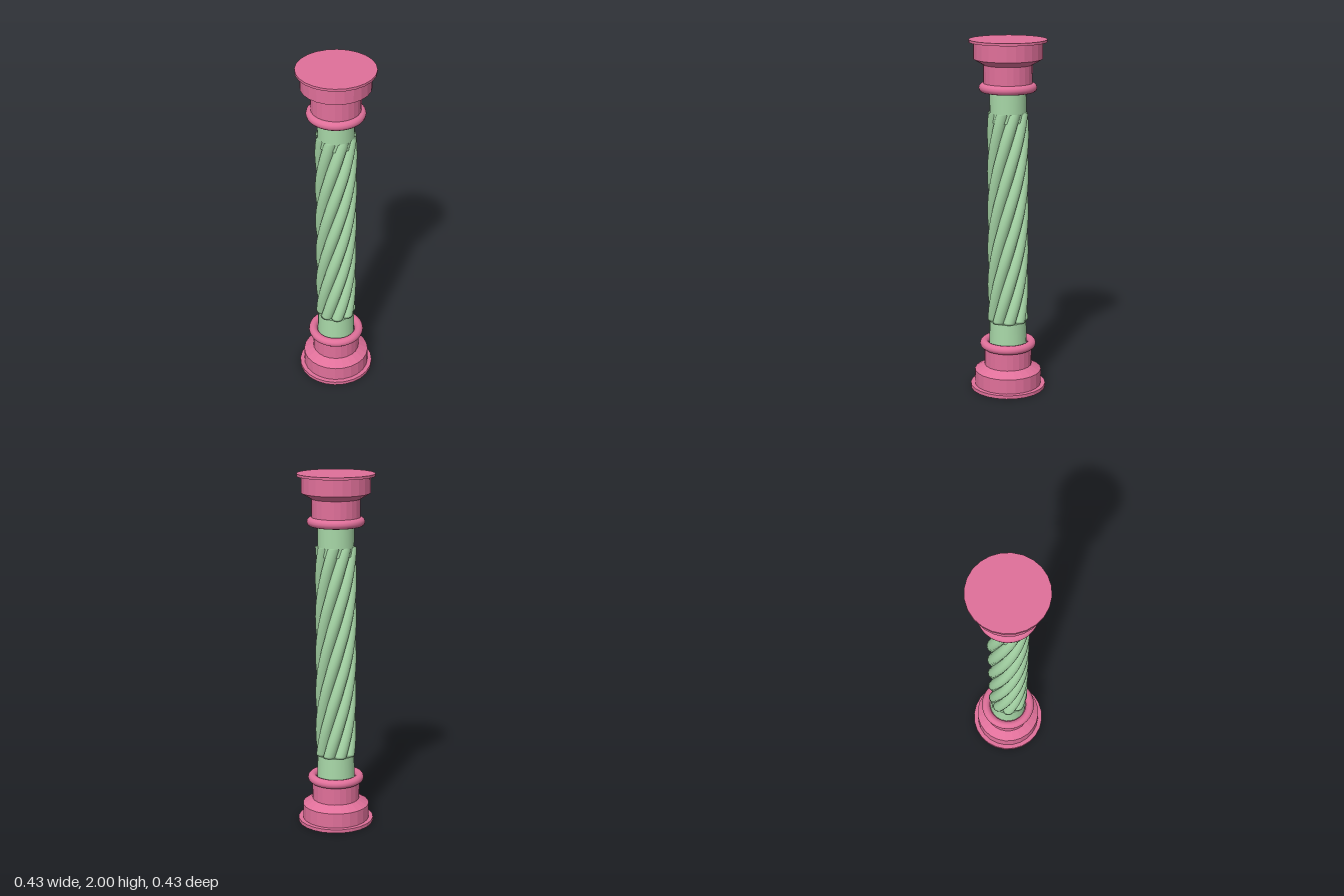
import * as THREE from 'three';
import { ParametricGeometry } from 'three/addons/geometries/ParametricGeometry.js';

const SIDES = 24, STRANDS = 8, PITCH = 1.76;
const pink = new THREE.MeshStandardMaterial({ color: 0xe0709a, flatShading: true });
const pinkSmooth = new THREE.MeshStandardMaterial({ color: 0xe0709a });
const green = new THREE.MeshStandardMaterial({ color: 0xa8d8a8 });

function add(parent, name, geometry, material, y = 0) {
  const mesh = new THREE.Mesh(geometry, material);
  mesh.name = name;
  mesh.position.y = y;
  parent.add(mesh);
  return mesh;
}

// Stepped round plinth with a ring on its neck, standing on y = 0
function createPlinth(name, lip) {
  const plinth = new THREE.Group();
  plinth.name = name;
  const profile = [
    [0, 0], [0.215, 0], [0.215, lip], [0.19, lip], [0.19, 0.105],
    [0.135, 0.137], [0.135, 0.262], [0, 0.262],
  ].map(([r, y]) => new THREE.Vector2(r, y));
  add(plinth, name + 'Body', new THREE.LatheGeometry(profile, SIDES), pink);
  const ring = new THREE.TorusGeometry(0.135, 0.025, 12, SIDES * 2);
  add(plinth, name + 'Ring', ring.rotateX(Math.PI / 2), pinkSmooth, 0.262);
  return plinth;
}

// One rounded strand of the twisted shaft, winding upward between two heights
function createStrand(index, bottom, top) {
  const centre = 0.08, radius = 0.035, half = Math.PI / STRANDS;
  return new ParametricGeometry((u, v, target) => {
    const local = (u * 2 - 1) * half;
    const y = bottom + (top - bottom) * v;
    // Circle of the strand, seen from the shaft axis
    const bulge = centre * Math.cos(local)
      + Math.sqrt(radius ** 2 - (centre * Math.sin(local)) ** 2);
    // Ends close in towards the collars
    const edge = Math.min(1, Math.min(v, 1 - v) * 100);
    const r = 0.07 + (bulge - 0.07) * edge;
    const angle = index * 2 * half + local + (y / PITCH) * Math.PI * 2;
    target.set(Math.sin(angle) * r, y, Math.cos(angle) * r);
  }, 8, 100);
}

export function createModel() {
  const model = new THREE.Group();
  model.name = 'column';

  // Base and its upside-down copy as the capital
  model.add(createPlinth('base', 0.02));
  const capital = createPlinth('capital', 0.014);
  capital.rotation.x = Math.PI;
  capital.position.y = 2;
  model.add(capital);

  // Twisted shaft
  const shaft = new THREE.Group();
  shaft.name = 'shaft';
  model.add(shaft);
  for (let i = 0; i < STRANDS; i++) {
    add(shaft, 'strand' + (i + 1), createStrand(i, 0.39, 1.61), green);
  }

  // Plain collars where the shaft meets the base and the capital
  add(shaft, 'lowerCollar', new THREE.CylinderGeometry(0.104, 0.108, 0.14, SIDES), green, 0.33);
  add(shaft, 'upperCollar', new THREE.CylinderGeometry(0.102, 0.1, 0.18, SIDES), green, 1.64);
  return model;
}
